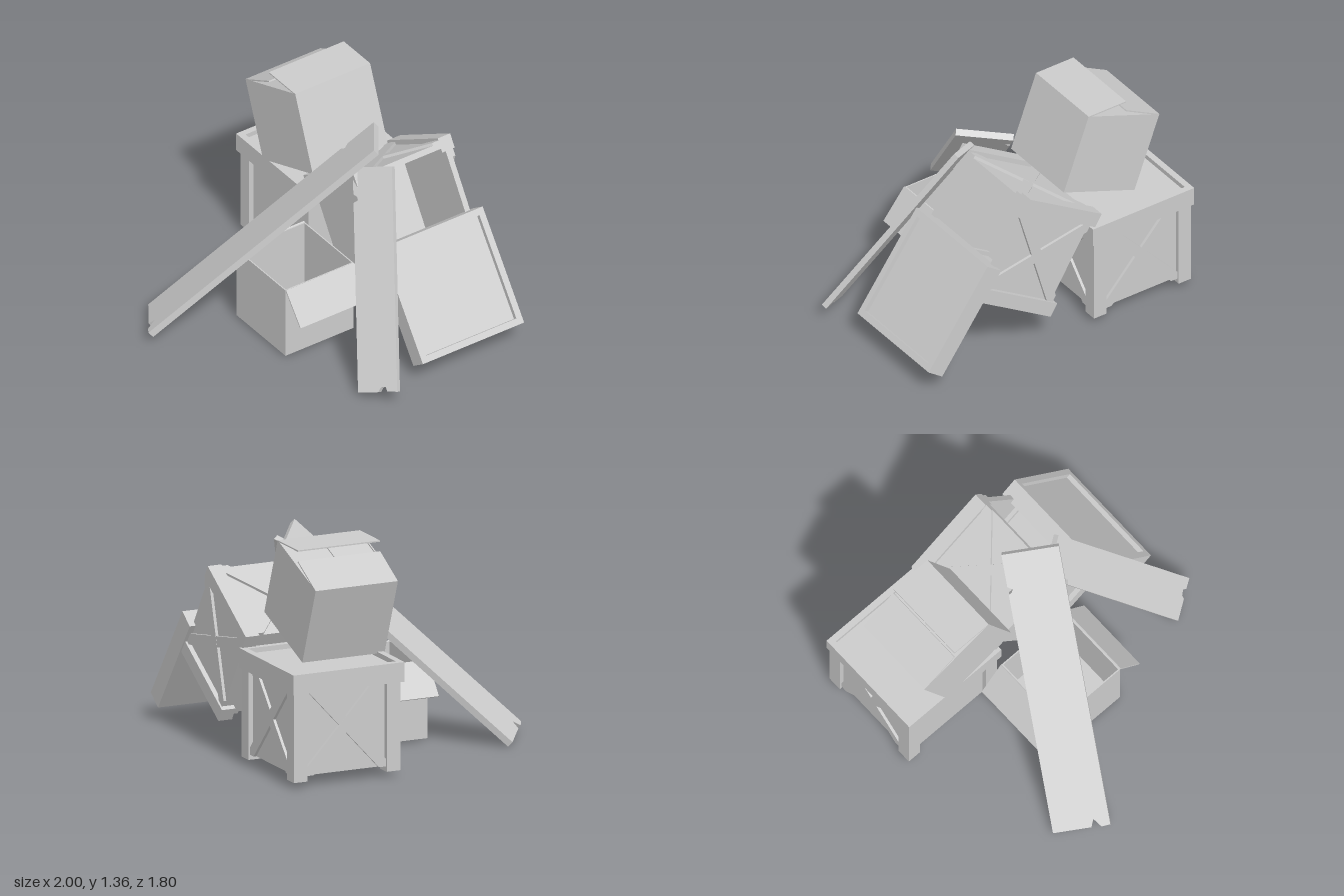
import * as THREE from 'three';

const mat = new THREE.MeshStandardMaterial({ color: 0xcccccc, flatShading: true, side: THREE.DoubleSide });

function add(parent, name, geo, x = 0, y = 0, z = 0) {
  const mesh = new THREE.Mesh(geo, mat);
  mesh.name = name;
  mesh.position.set(x, y, z);
  parent.add(mesh);
  return mesh;
}
const box = (w, h, d) => new THREE.BoxGeometry(w, h, d);
const polygon = (pts) => new THREE.Shape(pts.map(([x, y]) => new THREE.Vector2(x, y)));
const extrude = (shape, depth) => new THREE.ExtrudeGeometry(shape, { depth, bevelEnabled: false });
function group(parent, name, x = 0, y = 0, z = 0, rz = 0) {
  const g = new THREE.Group();
  g.name = name;
  g.position.set(x, y, z);
  g.rotation.z = rz;
  parent.add(g);
  return g;
}

// Crate dimensions
const SIZE = 0.70, POST = 0.09, HEIGHT = 0.60, INSET = 0.03, WALL = 0.035, FOOT = 0.03;

// Lid: a plate with a raised rim, underside at y = 0
function buildLid(parent, name, x, y, z, rz) {
  const lid = group(parent, name, x, y, z, rz);
  const o = 0.365, i = 0.325;
  const rim = polygon([[-o, -o], [o, -o], [o, o], [-o, o]]);
  rim.holes.push(polygon([[-i, -i], [-i, i], [i, i], [i, -i]]));
  const rimGeo = extrude(rim, 0.12).rotateX(-Math.PI / 2);
  add(lid, 'lidRim', rimGeo);
  add(lid, 'lidPlate', box(2 * i, 0.09, 2 * i), 0, 0.045, 0);
}

// Diagonal board trimmed to the panel's corners
function braceGeometry(a, b, flip) {
  const half = 0.033, L = Math.hypot(a, b), p = half * L / b, q = half * L / a;
  const pts = [[-a, -b], [-a + p, -b], [a, b - q], [a, b], [a - p, b], [-a, -b + q]];
  return extrude(polygon(flip ? pts.map(([x, y]) => [-x, y]).reverse() : pts), 0.018);
}

// Open crate standing on its four posts; the front panel is plain
function buildCrate(parent, name, x, y, z, rz) {
  const crate = group(parent, name, x, y, z, rz);
  const c = SIZE / 2 - POST / 2;
  for (const sx of [-1, 1]) for (const sz of [-1, 1])
    add(crate, 'post', box(POST, HEIGHT, POST), sx * c, HEIGHT / 2, sz * c);
  const panelH = HEIGHT - FOOT, span = SIZE - 2 * INSET, face = SIZE / 2 - INSET;
  add(crate, 'floor', box(span, WALL, span), 0, FOOT + WALL / 2, 0);
  for (let k = 0; k < 4; k++) {
    const side = group(crate, 'crateSide', 0, FOOT + panelH / 2, 0);
    side.rotation.y = k * Math.PI / 2;
    add(side, 'panel', box(span - 0.002, panelH, WALL), 0, 0, face - WALL / 2);
    if (k === 0) continue;
    for (const flip of [false, true])
      add(side, 'crossBrace', braceGeometry(SIZE / 2 - POST, panelH / 2, flip), 0, 0, face - (flip ? 0.001 : 0));
  }
}

// Open carton with its base at y = 0; flap angles are raised from the closed position
function buildCarton(parent, name, w, h, d, flapLength, leftAngle, rightAngle, innerFlaps) {
  const carton = group(parent, name);
  const t = 0.008;
  add(carton, 'base', box(w, t, d), 0, t / 2, 0);
  for (const s of [-1, 1]) {
    add(carton, 'sideWall', box(t, h, d), s * (w - t) / 2, h / 2, 0);
    add(carton, 'endWall', box(w, h, t), 0, h / 2, s * (d - t) / 2);
    const hinge = group(carton, 'flapHinge', s * w / 2, h, 0, s < 0 ? leftAngle : -rightAngle);
    add(hinge, 'flap', box(flapLength, t, d), -s * flapLength / 2, -t / 2, 0);
    if (innerFlaps) add(carton, 'innerFlap', box(w - 2 * t, t, d / 2 - 0.005), 0, h - 0.012, s * d / 4);
  }
  return carton;
}

// Plank from its lower left corner, width direction, length direction and outline
function buildPlank(parent, name, corner, across, along, thick, outline) {
  const u = new THREE.Vector3(...across).normalize();
  const n = u.clone().cross(new THREE.Vector3(...along)).normalize();
  const v = n.clone().cross(u);
  const geo = extrude(polygon(outline), thick).translate(0, 0, -thick);
  const plank = add(parent, name, geo, ...corner);
  plank.quaternion.setFromRotationMatrix(new THREE.Matrix4().makeBasis(u, v, n));
}

export function createModel() {
  const model = new THREE.Group();
  model.name = 'crateAndPlankPile';

  // Upright closed crate, tipped open crate and its loose lid
  buildCrate(model, 'uprightCrate', -0.635, 0.04, -0.55, 0);
  buildLid(model, 'uprightCrateLid', -0.635, 0.58, -0.545, 0);
  buildCrate(model, 'tippedCrate', -0.156, 0.482, -0.55, -1.018);
  buildLid(model, 'looseLid', 0.605, 0.38, -0.545, -0.949);

  // Tilted carton on the crate, with nearly closed flaps
  const tilted = buildCarton(model, 'tiltedCarton', 0.545, 0.51, 0.54, 0.27, 0.13, 0.36, true);
  tilted.position.set(-0.455, 0.785, -0.44);
  tilted.rotation.z = 0.36;

  // Open carton on the ground, with flaps hanging outward
  const open = buildCarton(model, 'openCarton', 0.50, 0.475, 0.49, 0.24, Math.PI + 0.9, Math.PI + 0.9, false);
  open.position.set(-0.03, 0.012, 0.077);

  // Leaning broken planks
  buildPlank(model, 'longPlank', [-0.65, 0.03, 0.70], [0.28, 0.04, 0.195], [0.65, 1.22, -1.17], 0.04,
    [[0, 0], [0.23, 0], [0.25, 0.05], [0.265, 0.03], [0.29, -0.005], [0.343, 0], [0.343, 1.81], [0, 1.81],
      [0, 1.60], [0.03, 1.58], [0.018, 1.56], [0, 1.55]]);
  buildPlank(model, 'shortPlank', [0.79, 0.03, 0.20], [0.21, 0.075, -0.135], [-0.70, 1.06, -0.395], 0.035,
    [[0, 0], [0.135, 0], [0.15, 0.025], [0.185, 0.03], [0.195, 0.002], [0.261, 0], [0.261, 1.33], [0, 1.33],
      [0, 1.17], [0.025, 1.155], [0.03, 1.135], [0, 1.12]]);

  return model;
}
